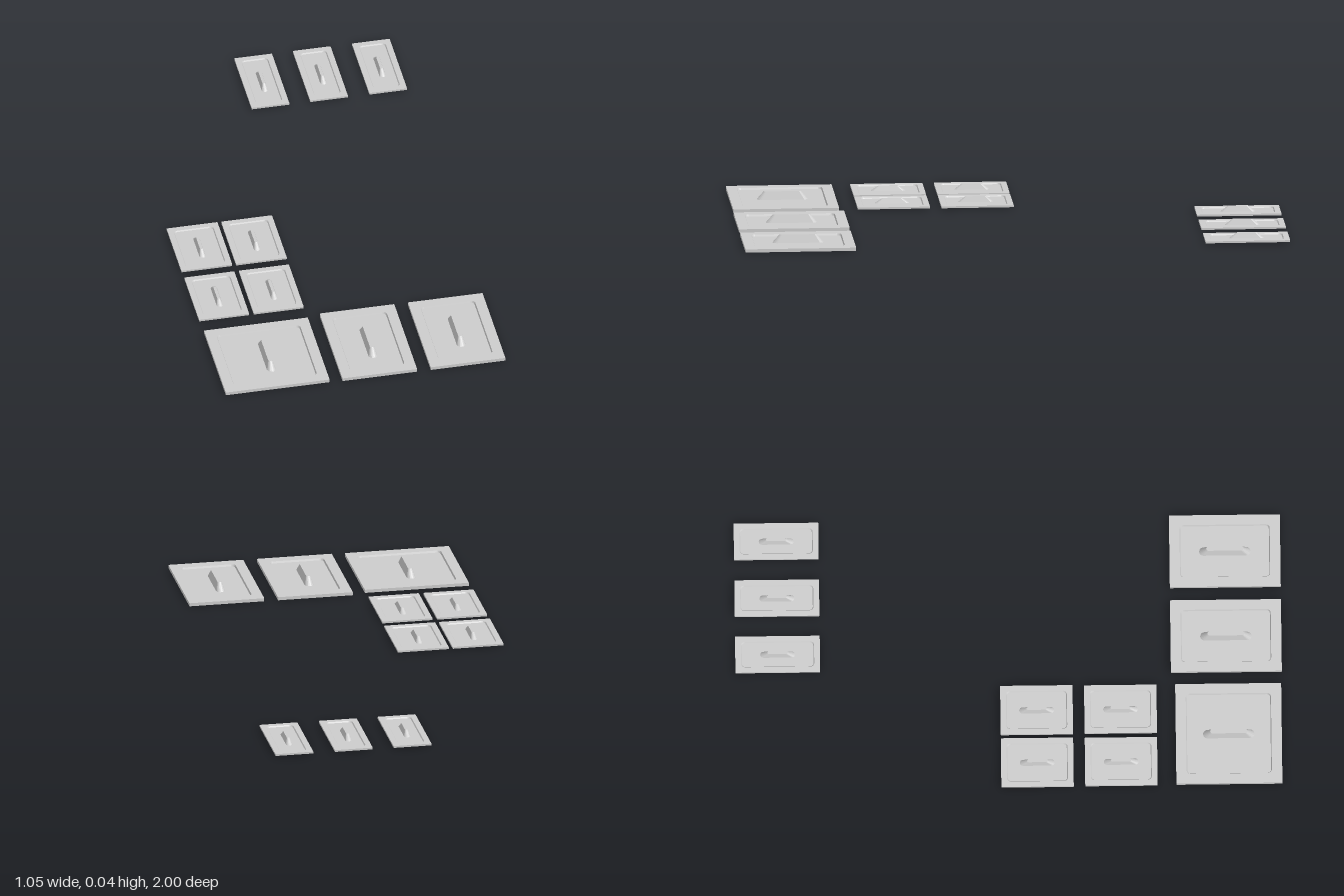
import * as THREE from 'three';

const material = new THREE.MeshStandardMaterial({ color: 0xcccccc });

// Rounded rectangle ring, counter-clockwise from above
function ring(w, d, r, y) {
  const pts = [], seg = 4;
  const corners = [[1, -1], [-1, -1], [-1, 1], [1, 1]];
  corners.forEach(([sx, sz], c) => {
    for (let i = 0; i <= seg; i++) {
      const a = (c + i / seg) * Math.PI / 2;
      pts.push([sx * (w / 2 - r) + r * Math.cos(a), y, sz * (d / 2 - r) - r * Math.sin(a)]);
    }
  });
  return pts;
}

// Faceted solid through a list of rings, closed at both ends
function loft(rings) {
  const n = rings[0].length, pos = [];
  const tri = (a, b, c) => pos.push(...a, ...b, ...c);
  for (let k = 0; k + 1 < rings.length; k++) {
    const a = rings[k], b = rings[k + 1];
    for (let i = 0; i < n; i++) {
      const j = (i + 1) % n;
      tri(a[i], a[j], b[j]);
      tri(a[i], b[j], b[i]);
    }
  }
  const first = rings[0], last = rings[rings.length - 1];
  for (let i = 0; i < n; i++) {
    const j = (i + 1) % n;
    tri([0, first[0][1], 0], first[j], first[i]);
    tri([0, last[0][1], 0], last[i], last[j]);
  }
  const g = new THREE.BufferGeometry();
  g.setAttribute('position', new THREE.Float32BufferAttribute(pos, 3));
  g.computeVertexNormals();
  return g;
}

// Flat lid with a raised rim, a recessed panel and a tapered grip
function makeLid(name, x, z, w, d, s) {
  const lid = new THREE.Group();
  lid.name = name;
  const plate = new THREE.Mesh(loft([
    ring(w, d, 0.002, s.bottom),
    ring(w, d, 0.002, s.top),
    ring(w - 2 * s.rim, d - 2 * s.rim, 0.014, s.top),
    ring(w - 2 * s.rim - 0.006, d - 2 * s.rim - 0.006, 0.012, s.floor),
  ]), material);
  plate.name = 'plate';
  const [bw, bl, tw, tl] = s.grip;
  const handle = new THREE.Mesh(loft([
    ring(bw, bl, bw * 0.48, s.floor - 0.001),
    ring(tw, tl, tw * 0.48, s.gripTop),
  ]), material);
  handle.name = 'handle';
  lid.add(plate, handle);
  lid.position.set(x, 0, z);
  return lid;
}

export function createModel() {
  const model = new THREE.Group();
  model.name = 'lidSet';

  const large = { bottom: 0, top: 0.012, floor: 0.005, rim: 0.038, grip: [0.033, 0.19, 0.016, 0.136], gripTop: 0.035 };
  const small = { bottom: 0.004, top: 0.011, floor: 0.0065, rim: 0.021, grip: [0.024, 0.13, 0.011, 0.074], gripTop: 0.027 };
  const smallLow = { ...small, gripTop: 0.024 };

  // Front row: one wide lid and two half lids
  model.add(makeLid('wideLid', -0.328, 0.802, 0.388, 0.388, large));
  for (const x of [0.053, 0.383]) model.add(makeLid('halfLid', x, 0.796, 0.279, 0.406, large));

  // Middle block: two by two small lids
  for (const x of [-0.432, -0.228]) {
    model.add(makeLid('smallLid', x, 0.1, 0.19, 0.265, small));
    model.add(makeLid('smallLid', x, 0.407, 0.187, 0.265, smallLow));
  }

  // Back row: three narrow lids
  for (const x of [0, 0.219, 0.44]) model.add(makeLid('narrowLid', x, -0.845, 0.141, 0.31, small));

  return model;
}
